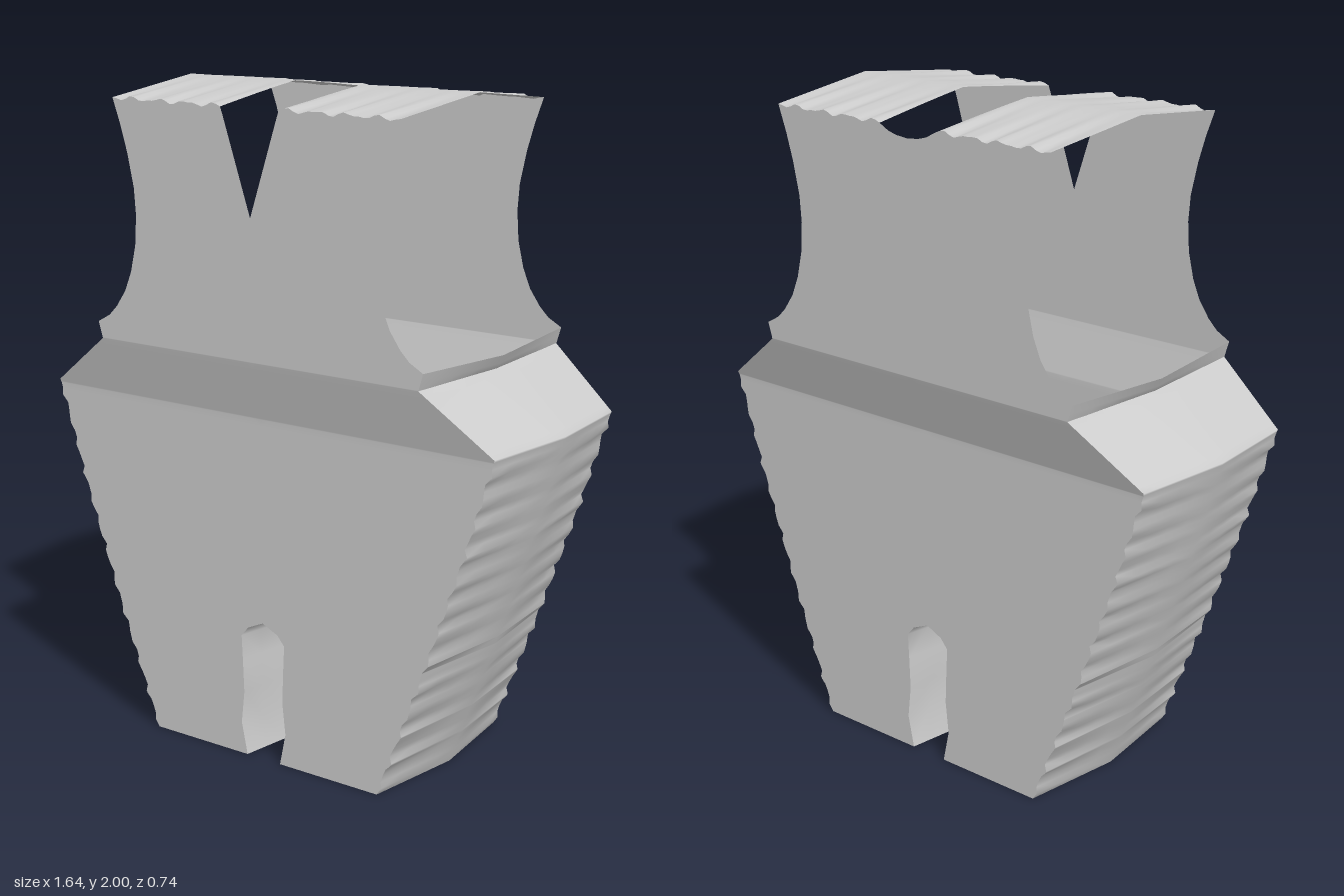
import * as THREE from 'three';

// Piecewise linear lookup in a list of [key, value] pairs
function lookup(table, k) {
  if (k <= table[0][0]) return table[0][1];
  for (let i = 1; i < table.length; i++) {
    const [a, va] = table[i - 1], [b, vb] = table[i];
    if (k <= b) return va + (vb - va) * (k - a) / (b - a);
  }
  return table[table.length - 1][1];
}

const EDGE = 1.957; // height of the shoulder seam

// Half width of the body at the corner seams, bottom to shoulder
const OUTER = [[0, 0.415], [0.38, 0.56], [0.75, 0.69], [1.07, 0.79], [1.235, 0.57], [1.285, 0.585],
  [1.31, 0.54], [1.34, 0.51], [1.39, 0.475], [1.45, 0.45], [1.53, 0.431], [1.62, 0.425],
  [1.7, 0.431], [1.8, 0.453], [1.88, 0.477], [EDGE, 0.505]];
const FRONT_Z = [[0, 0.33], [1.06, 0.33], [1.235, 0.37]];
const BACK_Z = [[0, -0.315], [1.06, -0.315], [1.235, -0.37]];
// Leg gap: seam height, seam x, middle height, middle x
const GAP = [[0, 0.062, 0, 0.02], [0.1, 0.083, 0.1, 0.028], [0.2, 0.072, 0.2, 0.035], [0.3, 0.076, 0.3, 0.04],
  [0.38, 0.08, 0.37, 0.04], [0.41, 0.055, 0.4, 0.028], [0.435, 0, 0.415, 0]];
const gapEdge = GAP.map(([y, x]) => [y, x]);
const FRONT_NECK = [[1.65, 0], [EDGE, 0.103]];
const BACK_NECK = [[1.925, 0], [1.929, 0.04], [1.937, 0.07], [EDGE, 0.103]];

// Slightly puckered side seam
const outer = (y) => lookup(OUTER, y) + (y > 0.02 && y < 1.04 ? 0.006 * Math.sin(y * 75) + 0.003 * Math.sin(y * 131) : 0);
const pucker = (x) => 0.005 * Math.sin(x * 62) + 0.003 * Math.sin(x * 105);

// Smooth surface over rows x cols; point(row, u) gives [x, y, z]
function surface(name, rows, cols, point, material, mirrored) {
  const pos = [], index = [];
  rows.forEach((row, j) => {
    for (let i = 0; i <= cols; i++) {
      const [x, y, z] = point(row, i / cols);
      pos.push(mirrored ? -x : x, y, z);
      if (j === rows.length - 1 || i === cols) continue;
      const a = j * (cols + 1) + i, b = a + 1, c = a + cols + 1, d = c + 1;
      if (mirrored) index.push(a, d, b, a, c, d);
      else index.push(a, b, d, a, d, c);
    }
  });
  const geo = new THREE.BufferGeometry();
  geo.setAttribute('position', new THREE.Float32BufferAttribute(pos, 3));
  geo.setIndex(index);
  geo.computeVertexNormals();
  const mesh = new THREE.Mesh(geo, material);
  mesh.name = name;
  return mesh;
}

export function createModel() {
  const group = new THREE.Group();
  group.name = 'sleevelessRomper';
  const cloth = new THREE.MeshStandardMaterial({ color: 0xcccccc, side: THREE.DoubleSide });

  // Row heights: even steps plus every corner of the outlines
  const steps = Array.from({ length: 90 }, (_, i) => i * 0.0217);
  const heights = [...new Set([...steps, 1.06, ...[OUTER, gapEdge, FRONT_NECK, BACK_NECK].flat().map((p) => p[0])])]
    .filter((y) => y <= EDGE).sort((a, b) => a - b);
  const sideHeights = heights.filter((y) => y <= 1.285);

  for (const mirrored of [false, true]) {
    const side = mirrored ? 'right' : 'left';
    const add = (name, rows, cols, point) => group.add(surface(side + name, rows, cols, point, cloth, mirrored));

    // Flat front and back panels with leg gap and neckline
    const panel = (neck, depth, reverse) => (y, u) => {
      const inner = y < 0.435 ? lookup(gapEdge, y) : lookup(neck, y);
      const x = THREE.MathUtils.lerp(inner, outer(y), reverse ? 1 - u : u);
      return [x, y === EDGE ? y + pucker(x) : y, lookup(depth, y)];
    };
    add('FrontPanel', heights, 24, panel(FRONT_NECK, FRONT_Z, false));
    add('BackPanel', heights, 24, panel(BACK_NECK, BACK_Z, true));

    // Side panel, bowed outward, from underarm rim to hem
    add('SidePanel', sideHeights, 8, (y, u) => {
      const bow = 1 - Math.abs(u * 2 - 1);
      const amount = lookup([[0, 0.043], [1.07, 0.031], [1.235, 0.015], [1.285, 0.027]], y);
      const x = THREE.MathUtils.lerp(outer(y), lookup(OUTER, y) + amount, bow);
      const drop = y > 1.235 ? bow * 0.012 : 0;
      return [x, y - drop, THREE.MathUtils.lerp(lookup(FRONT_Z, y), lookup(BACK_Z, y), u)];
    });

    // Shoulder strap, peaked along the middle
    const strapRows = [0, 0.25, 0.5, 0.75, 1, 1.25, 1.5, 1.75, 2];
    add('ShoulderStrap', strapRows, 24, (t, u) => {
      const rise = 1 - Math.abs(t - 1);
      const x = THREE.MathUtils.lerp(0.103 + 0.017 * rise, 0.505 + 0.012 * rise, u);
      return [x, THREE.MathUtils.lerp(EDGE + pucker(x), 2, rise), 0.37 * (1 - t)];
    });

    // Inner leg wall and crotch, pinched toward the middle
    add('InnerLeg', GAP, 8, ([y, x, midY, midX], u) => {
      const pinch = 1 - Math.abs(u * 2 - 1);
      return [
        THREE.MathUtils.lerp(x, midX, pinch),
        THREE.MathUtils.lerp(y, midY, pinch),
        THREE.MathUtils.lerp(-0.315, 0.33, u),
      ];
    });
  }
  return group;
}
